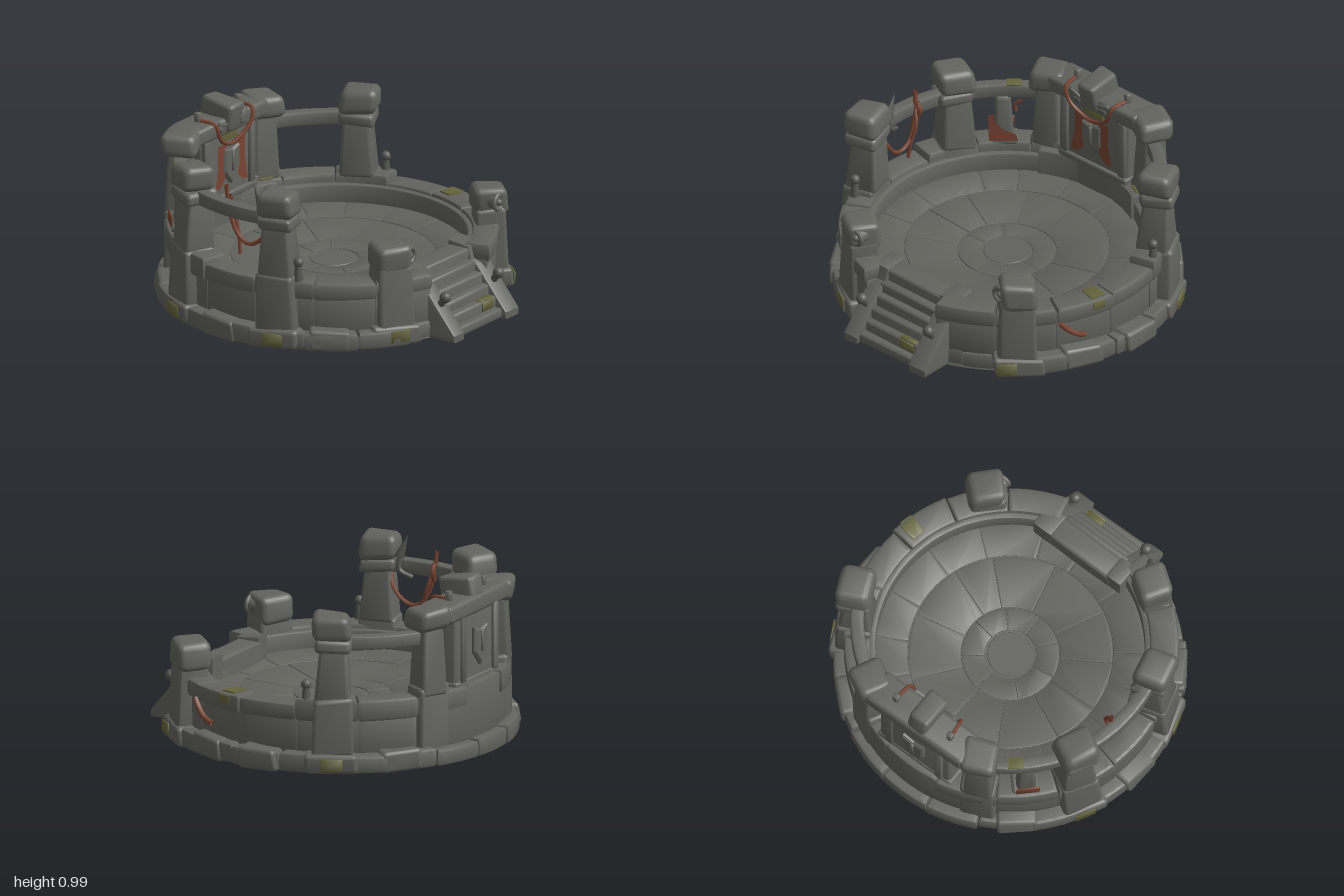
import * as THREE from 'three';
import { toCreasedNormals } from 'three/addons/utils/BufferGeometryUtils.js';
import { RoundedBoxGeometry } from 'three/addons/geometries/RoundedBoxGeometry.js';

const CZ = -0.03; // the ring's centre on z
const V2 = p => new THREE.Vector2(...p);
const mat = (name, color, side = THREE.FrontSide) => {
  const m = new THREE.MeshStandardMaterial({ color, side });
  m.name = name;
  return m;
};

export function createModel() {
  const root = new THREE.Group();
  root.name = 'arena';
  const stone = mat('stone', 0x63635e);
  const slab = mat('floorStone', 0x61615c);
  const iron = mat('darkStone', 0x575753);
  const cloth = mat('redCloth', 0x784433, THREE.DoubleSide);
  const moss = mat('moss', 0x64643c);
  let seed = 7;
  const rnd = () => (seed = (seed * 16807) % 2147483647) / 2147483647;

  function add(name, geo, m = stone, parent = root) {
    const mesh = new THREE.Mesh(geo, m);
    mesh.name = name;
    parent.add(mesh);
    return mesh;
  }
  // Group at a ring angle (0 = front, positive towards +x), its z axis pointing outward
  function station(name, a, r) {
    const g = new THREE.Group();
    g.name = name;
    g.position.set(r * Math.sin(a), 0, CZ + r * Math.cos(a));
    g.rotation.y = a;
    root.add(g);
    return g;
  }
  // Bevelled block curved around the ring; dish raises it towards the outside
  function arcBlock(name, a0, a1, r0, r1, y0, y1, m = stone, b = 0.014, dish = 0) {
    const s = new THREE.Shape();
    s.absarc(0, 0, r1, a0 - Math.PI / 2, a1 - Math.PI / 2, false);
    s.absarc(0, 0, r0, a1 - Math.PI / 2, a0 - Math.PI / 2, true);
    s.closePath();
    const g = new THREE.ExtrudeGeometry(s, {
      depth: y1 - y0 - 2 * b, bevelThickness: b, bevelSize: b, bevelOffset: -b,
      bevelSegments: 2, curveSegments: Math.max(4, Math.ceil((a1 - a0) * 14)),
    });
    g.rotateX(-Math.PI / 2);
    const p = g.attributes.position;
    for (let i = 0; i < p.count; i++) p.setY(i, p.getY(i) + dish * (p.getX(i) ** 2 + p.getZ(i) ** 2));
    g.translate(0, y0 + b, CZ);
    return add(name, toCreasedNormals(g, 0.7), m);
  }
  // Worn block with rounded edges, tapered towards the top, standing at y
  function block(name, w, h, d, x, y, z, { taper = 1, wob = 0.008, m = stone, parent = root, r = 0.025 } = {}) {
    const g = new RoundedBoxGeometry(w, h, d, 3, Math.min(r, w / 3, h / 3, d / 3));
    const p = g.attributes.position, ph = rnd() * 6;
    for (let i = 0; i < p.count; i++) {
      const X = p.getX(i), Y = p.getY(i), Z = p.getZ(i);
      const k = 1 + (taper - 1) * (Y / h + 0.5);
      p.setXYZ(i, X * k + wob * Math.sin(17 * Y + ph), Y + wob * Math.sin(14 * X + 11 * Z + ph), Z * k + wob * Math.cos(15 * Y + 9 * X + ph));
    }
    g.computeVertexNormals();
    const mesh = add(name, toCreasedNormals(g, 0.9), m, parent);
    mesh.position.set(x, y + h / 2, z);
    return mesh;
  }
  const tube = (name, pts, r, m = cloth) =>
    add(name, new THREE.TubeGeometry(new THREE.CatmullRomCurve3(pts.map(p => new THREE.Vector3(...p))), 24, r, 6), m);

  // Solid core with a dished floor inside the wall
  const dish = 0.1;
  const profile = [[0, 0], [0.9, 0], [0.88, 0.06], [0.785, 0.065], [0.78, 0.28], [0.75, 0.28], [0.745, 0.193 + dish * 0.555], [0.5, 0.193 + dish * 0.25], [0.25, 0.193 + dish * 0.0625], [0, 0.193]];
  const core = add('foundation', toCreasedNormals(new THREE.LatheGeometry(profile.map(V2), 64), 0.7));
  core.position.z = CZ;
  const gap = 0.29, TAU = Math.PI * 2;

  // Base ring of uneven stones
  const baseCount = 20;
  for (let i = 0; i < baseCount; i++) {
    const a = (i + 0.5) * TAU / baseCount;
    const front = Math.cos(a) > 0.8;
    arcBlock('baseStone', a, a + TAU / baseCount - 0.006, 0.8, (front ? 0.895 : 0.95) + rnd() * 0.022, 0, 0.095 + rnd() * 0.02, stone, 0.02);
  }
  // Wall courses and rim stones, left open for the stairs
  const rimCount = 15, step = (TAU - 2 * gap) / rimCount;
  for (let i = 0; i < rimCount; i++) {
    const a = gap + i * step, back = Math.cos(a + step / 2) < -0.35;
    const top = (back ? 0.4 : 0.372) + rnd() * 0.015;
    arcBlock('wallStone', a, a + step - 0.003, 0.76, 0.885 + rnd() * 0.008, 0.09, 0.3);
    arcBlock('rimStone', a, a + step - 0.005, 0.765, 0.905 + rnd() * 0.02, 0.28, top, stone, 0.02);
  }
  arcBlock('innerLedge', gap + 0.05, TAU - gap - 0.05, 0.735, 0.79, 0.2, 0.355);

  // Paved floor: centre stone and rings of shallow slabs
  const hub = add('centreStone', new THREE.CylinderGeometry(0.125, 0.138, 0.02, 28), slab);
  hub.position.set(0, 0.19, CZ);
  [[0.141, 0.268, 8], [0.271, 0.56, 11], [0.563, 0.745, 15]].forEach(([r0, r1, n], k) => {
    let a = k * 0.2;
    const end = a + TAU;
    for (let i = 0; i < n; i++) {
      const next = i === n - 1 ? end : k * 0.2 + (i + 1 + (rnd() - 0.5) * 0.4) * TAU / n;
      arcBlock('floorSlab', a, next - 0.004, r0, r1, 0.175, 0.197 + rnd() * 0.004, slab, 0.005, dish);
      a = next;
    }
  });

  // Stairs
  for (let i = 0; i < 6; i++) {
    const z1 = 0.97 - i * 0.046, y = 0.06 + i * 0.06;
    block('stair', 0.42, y, z1 - 0.6, 0.01, 0, (z1 + 0.6) / 2, { wob: 0.003, r: 0.018 });
  }
  const cheek = new THREE.Shape([[0.6, 0], [0.995, 0], [0.995, 0.04], [0.8, 0.275], [0.76, 0.295], [0.74, 0.37], [0.6, 0.385]].map(V2));
  for (const [x, w] of [[-0.225, 0.1], [0.265, 0.125]]) {
    const g = new THREE.ExtrudeGeometry(cheek, { depth: w - 0.024, bevelThickness: 0.012, bevelSize: 0.012, bevelOffset: -0.012, bevelSegments: 2 });
    g.rotateY(-Math.PI / 2).translate(x + w / 2 - 0.012, 0, 0);
    add('stairCheek', toCreasedNormals(g, 0.6));
    add('stairKnob', new THREE.SphereGeometry(0.032, 14, 10), iron).position.set(x, 0.235, 0.9);
    const shaft = add('knobShaft', new THREE.CylinderGeometry(0.018, 0.024, 0.08, 10), iron);
    shaft.position.set(x, 0.2, 0.875);
    shaft.rotation.x = 0.7;
  }

  // Tall pillars with heavy caps
  for (const [a, r] of [[-1.286, 0.855], [-2.05, 0.85], [2.034, 0.865]]) {
    const g = station('tallPillar', a, r), o = { parent: g };
    block('pillarFoot', 0.29, 0.11, 0.22, 0, 0, 0.01, o);
    block('buttress', 0.23, 0.33, 0.2, 0, 0.09, 0, { ...o, taper: 0.93 });
    block('pillarShaft', 0.2, 0.34, 0.19, 0, 0.39, -0.01, { ...o, taper: 0.74 });
    block('pillarCollar', 0.2, 0.075, 0.19, 0, 0.675, 0, o);
    block('pillarCap', 0.22, 0.145, 0.205, 0, 0.742, 0, { ...o, taper: 0.93, r: 0.045 });
    block('footMoss', 0.12, 0.07, 0.009, 0, 0.02, 0.123, { ...o, m: moss, wob: 0.002 });
  }
  // Short front pillars with a round boss facing forward
  for (const [a, r, shift, mossX] of [[-0.545, 0.83, 0.045, 0.01], [0.809, 0.87, -0.045, -0.07]]) {
    const g = station('shortPillar', a, r), o = { parent: g };
    block('pillarFoot', 0.28, 0.115, 0.2, 0, 0, 0.015, o);
    block('pillarShaft', 0.22, 0.37, 0.19, 0, 0.09, 0, { ...o, taper: 0.88 });
    block('pillarCap', 0.2, 0.16, 0.19, 0, 0.41, 0, { ...o, r: 0.04 });
    block('footMoss', 0.11, 0.07, 0.009, mossX, 0.025, 0.118, { ...o, m: moss, wob: 0.002 });
    const hold = new THREE.Group();
    hold.name = 'boss';
    hold.position.y = 0.5;
    hold.rotation.y = -a;
    g.add(hold);
    add('bossRing', new THREE.TorusGeometry(0.042, 0.013, 8, 20), stone, hold).position.set(shift, 0, 0.095);
    const disc = add('bossDisc', new THREE.CylinderGeometry(0.045, 0.045, 0.08, 20), stone, hold);
    disc.rotation.x = Math.PI / 2;
    disc.position.set(shift, 0, 0.055);
    add('bossCentre', new THREE.SphereGeometry(0.02, 12, 8), stone, hold).position.set(shift, 0, 0.095);
  }
  // Low outer footings
  for (const [a, r] of [[1.6, 0.895], [1.2, 0.87], [-0.95, 0.87], [-1.65, 0.88], [2.45, 0.87], [-2.45, 0.87]])
    block('footing', 0.24, 0.12, 0.18, 0, 0, 0.012, { parent: station('buttress', a, r), taper: 0.93 });
  // Short spikes beside two pillars
  for (const [x, y, z] of [[-0.8, 0.475, 0.325], [0.845, 0.475, -0.29]]) {
    add('pillarKnob', new THREE.SphereGeometry(0.028, 12, 8), iron).position.set(x, y + 0.01, z);
    add('pillarKnobStem', new THREE.CylinderGeometry(0.018, 0.028, 0.11, 8), iron).position.set(x, y - 0.05, z);
  }

  // Railings between pillars
  for (const [a0, a1] of [[-2.0, -1.32], [-2.62, -2.1], [2.08, 2.62]]) arcBlock('rail', a0, a1, 0.8, 0.875, 0.675, 0.755);
  const post = station('railPost', -2.38, 0.83);
  block('postFoot', 0.15, 0.05, 0.12, 0, 0.39, 0, { parent: post });
  block('postShaft', 0.11, 0.28, 0.09, 0, 0.41, 0, { parent: post, taper: 0.78, wob: 0.004 });

  // Back wall: plinth, panel, flanking posts, lintel and keystone
  arcBlock('backPlinth', Math.PI - 0.5, Math.PI + 0.5, 0.72, 0.91, 0.09, 0.4);
  block('backPanel', 0.48, 0.72, 0.15, 0, 0.1, -0.815, { wob: 0.003 });
  block('panelSill', 0.5, 0.04, 0.18, 0, 0.39, -0.81, { wob: 0.003 });
  block('lintel', 0.66, 0.1, 0.2, 0, 0.78, -0.805, { wob: 0.004 });
  const key = block('keystone', 0.125, 0.165, 0.21, 0, 0.81, -0.78);
  key.rotation.x = 0.12;
  for (const s of [-1, 1]) {
    const g = station('backPost', s * 2.68, 0.845), o = { parent: g };
    block('postButtress', 0.2, 0.4, 0.15, 0, 0.05, 0, o);
    block('postShaft', 0.17, 0.42, 0.16, 0, 0.39, 0, { ...o, taper: 0.75, wob: 0.004 });
    block('postCap', 0.2, 0.125, 0.2, 0, 0.76, 0, { ...o, r: 0.04 });
    block('panelFrame', 0.05, 0.35, 0.03, s * 0.21, 0.43, -0.735, { wob: 0.003 });
    block('backFrame', 0.05, 0.38, 0.03, s * 0.17, 0.42, -0.89, { wob: 0.003 });
    block('ribbonHook', 0.035, 0.07, 0.04, s * 0.185, 0.86, -0.81, { wob: 0 });
    // Carved brow and eye on the lintel
    const brow = block('carvedBrow', 0.085, 0.022, 0.025, s * 0.1, 0.845, -0.705, { wob: 0 });
    brow.rotation.z = s * 0.3;
    block('carvedEye', 0.05, 0.022, 0.016, s * 0.095, 0.81, -0.704, { wob: 0, m: iron });
    // Hanging banner strip with a ragged end
    const b = [[-0.045, 0.73], [0.03, 0.73], [0.03, 0.6], [0.055, 0.475], [0.005, 0.48], [-0.035, 0.52], [-0.03, 0.62]];
    add('banner', new THREE.ShapeGeometry(new THREE.Shape(b.map(p => V2([s * p[0], p[1]])))), cloth).position.set(s * 0.095, 0, -0.716);
  }
  block('carvedMouth', 0.08, 0.02, 0.02, 0, 0.8, -0.702, { wob: 0, m: iron });
  const half = [[-0.185, 0.885, -0.79], [-0.172, 0.875, -0.7], [-0.145, 0.8, -0.694], [-0.09, 0.748, -0.708]];
  tube('bannerRibbon', [...half, [0, 0.718, -0.712], ...half.map(([x, y, z]) => [-x, y, z]).reverse()], 0.011);

  // Plain shields on both faces of the panel
  const sh = new THREE.Shape([[0, -0.11], [0.06, -0.04], [0.06, 0.08], [0, 0.06], [-0.06, 0.08], [-0.06, -0.04]].map(V2));
  for (const [z, ry] of [[-0.734, 0], [-0.888, Math.PI]]) {
    const g = new THREE.ExtrudeGeometry(sh, { depth: 0.016, bevelThickness: 0.01, bevelSize: 0.012, bevelSegments: 1 });
    const m = add('shield', g);
    m.position.set(0, 0.61, z);
    m.rotation.y = ry;
    block('shieldRidge', 0.02, 0.12, 0.02, 0, 0.56, z + (ry ? -0.025 : 0.025), { wob: 0 });
  }

  // Torn cloth and rope on the railings and wall
  tube('railRope', [[-0.82, 0.72, 0.13], [-0.77, 0.62, 0.1], [-0.77, 0.54, 0.04], [-0.78, 0.51, -0.03], [-0.78, 0.55, -0.1], [-0.79, 0.68, -0.15], [-0.8, 0.83, -0.165]], 0.012);
  tube('ropeTail', [[-0.79, 0.72, -0.155], [-0.76, 0.64, -0.13], [-0.77, 0.54, -0.1], [-0.78, 0.44, -0.085]], 0.01);
  tube('railKnot', [[-0.78, 0.765, -0.16], [-0.76, 0.72, -0.16], [-0.78, 0.665, -0.16]], 0.014);
  tube('wallCloth', [[0.81, 0.3, 0.43], [0.835, 0.25, 0.39], [0.86, 0.21, 0.34], [0.872, 0.19, 0.29]], 0.016);
  const rag = new THREE.Shape([[-0.08, 0.42], [0.08, 0.42], [0.085, 0.6], [0.05, 0.55], [0.0, 0.49], [-0.07, 0.46]].map(V2));
  add('postCloth', new THREE.ShapeGeometry(rag), cloth, post).position.z = -0.066;
  block('postClothBack', 0.13, 0.06, 0.008, 0, 0.44, 0.066, { parent: post, m: cloth, wob: 0.002 });
  tube('railRag', [[-0.47, 0.67, -0.67], [-0.5, 0.64, -0.65], [-0.5, 0.6, -0.65]], 0.011);
  const horn = add('railSpike', new THREE.ConeGeometry(0.03, 0.14, 8), iron);
  horn.position.set(-0.79, 0.835, 0.04);
  horn.rotation.x = -0.4;
  tube('spikeStem', [[-0.8, 0.66, -0.01], [-0.78, 0.7, 0.06], [-0.79, 0.79, 0.065]], 0.013, iron);

  // Moss on the wall, rim, rail and stairs
  for (const [a, r0, r1, y] of [[1.33, 0.8, 0.9, 0.384], [-2.45, 0.805, 0.87, 0.755], [2.7, 0.75, 0.79, 0.414], [-2.95, 0.74, 0.79, 0.414]])
    arcBlock('topMoss', a - 0.05, a + 0.05, r0, r1, y - 0.004, y + 0.004, moss, 0.002);
  arcBlock('rimMoss', 1.28, 1.36, 0.9, 0.928, 0.32, 0.37, moss, 0.004);
  block('stairMoss', 0.11, 0.008, 0.036, 0.13, 0.118, 0.902, { m: moss, wob: 0 });
  block('stairMossFace', 0.1, 0.05, 0.008, 0.13, 0.066, 0.927, { m: moss, wob: 0 });
  block('panelMoss', 0.15, 0.045, 0.008, 0, 0.735, -0.734, { m: moss, wob: 0 });
  return root;
}
